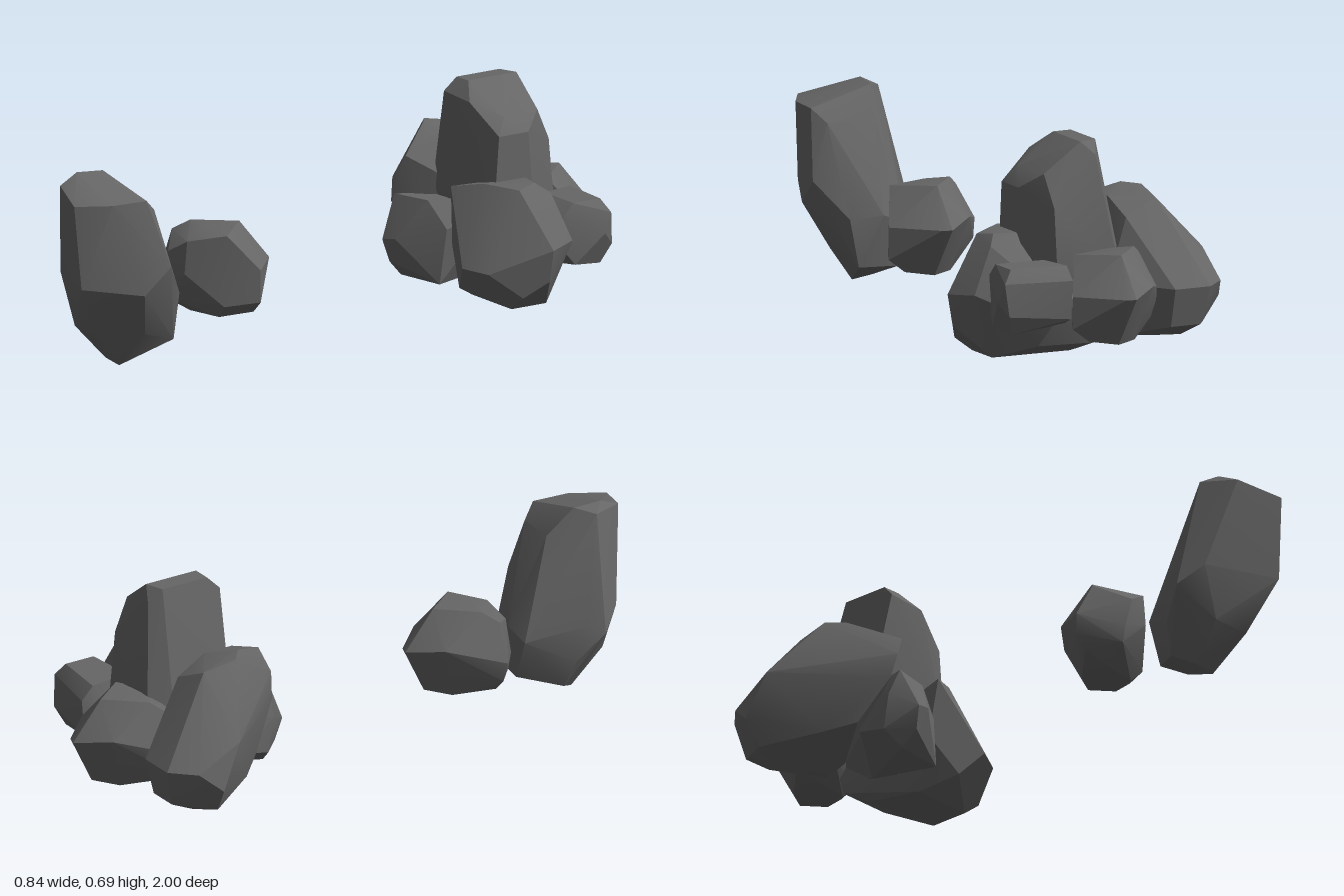
import * as THREE from 'three';
import { ConvexGeometry } from 'three/addons/geometries/ConvexGeometry.js';
import { toCreasedNormals } from 'three/addons/utils/BufferGeometryUtils.js';

const stone = new THREE.MeshStandardMaterial({ color: 0x666666 });

// A chipped boulder: the hull around a few corner points (x, y, z)
function boulder(name, corners) {
  const points = corners.map(([x, y, z]) => new THREE.Vector3(x, y, z));
  const mesh = new THREE.Mesh(toCreasedNormals(new ConvexGeometry(points), 0.4), stone);
  mesh.name = name;
  return mesh;
}

export function createModel() {
  const group = new THREE.Group();
  group.name = 'rockFormation';

  // Tall standing stone at the front, leaning forward
  group.add(boulder('frontStandingStone', [
    [-0.08, 0.58, 0.84], [-0.04, 0.6, 0.88], [-0.03, 0.595, 0.79], [0.18, 0.54, 0.78],
    [0.17, 0.54, 0.9], [0.11, 0.54, 1], [-0.03, 0.57, 0.95], [0, 0.51, 0.71], [0.15, 0.5, 0.73],
    [-0.16, 0.22, 0.82], [-0.14, 0.25, 0.77], [-0.11, 0.28, 0.89], [0.12, 0.28, 0.98],
    [0.03, 0.23, 0.59], [-0.05, 0.2, 0.6], [0.13, 0.22, 0.62], [0.21, 0.33, 0.71], [0.2, 0.25, 0.8],
    [0.04, 0, 0.78], [-0.03, 0.01, 0.78], [0, 0.07, 0.6], [0.1, 0.07, 0.62], [-0.08, 0.04, 0.72],
    [0.07, 0.11, 0.89], [-0.05, 0.12, 0.88], [-0.12, 0.13, 0.74], [0.13, 0.11, 0.75],
  ]));

  // Small boulder behind it, repeated at the back of the cluster
  const small = boulder('smallBoulder', [
    [0, 0.37, 0.3], [-0.1, 0.37, 0.41], [-0.02, 0.37, 0.42], [0.1, 0.36, 0.42],
    [-0.14, 0.34, 0.45], [0.02, 0.34, 0.51], [0, 0.25, 0.2], [0.03, 0.25, 0.21],
    [0.15, 0.25, 0.33], [0.15, 0.15, 0.33], [0.1, 0.14, 0.43], [0.02, 0.24, 0.52],
    [-0.05, 0.3, 0.53], [-0.08, 0.2, 0.53], [-0.2, 0.23, 0.44], [-0.19, 0.17, 0.43],
    [-0.1, 0.27, 0.28], [0.02, 0.1, 0.28], [0.1, 0.11, 0.32], [0.06, 0.1, 0.42],
    [-0.06, 0.1, 0.44], [-0.08, 0.15, 0.52], [-0.15, 0.13, 0.43], [-0.06, 0.1, 0.33],
  ]);
  const back = small.clone();
  back.name = 'clusterBackBoulder';
  back.position.z = -1.2;
  group.add(small, back);

  // Tall peak in the middle of the cluster
  group.add(boulder('clusterPeak', [
    [-0.02, 0.69, -0.53], [0.04, 0.69, -0.53], [-0.02, 0.69, -0.69], [0.04, 0.69, -0.71],
    [-0.03, 0.65, -0.49], [0.1, 0.64, -0.49], [0.18, 0.6, -0.56], [0.21, 0.55, -0.52],
    [0.21, 0.55, -0.63], [0.16, 0.6, -0.7], [0, 0.65, -0.73], [0.15, 0.5, -0.75],
    [-0.1, 0.35, -0.5], [-0.1, 0.3, -0.7], [-0.06, 0.3, -0.77], [0.15, 0.3, -0.77],
    [0.21, 0.3, -0.5], [0.21, 0.3, -0.65], [0, 0.1, -0.55], [0.12, 0.1, -0.55], [0.05, 0.1, -0.72],
  ]));

  // Long slab on the right side of the cluster, sloping down to the back
  group.add(boulder('clusterRightSlab', [
    [-0.24, 0.51, -0.57], [-0.19, 0.515, -0.53], [-0.11, 0.49, -0.5], [-0.11, 0.49, -0.6],
    [-0.09, 0.45, -0.39], [-0.13, 0.38, -0.37], [-0.23, 0.49, -0.68], [-0.12, 0.44, -0.7],
    [-0.4, 0.32, -0.66], [-0.42, 0.18, -0.73], [-0.39, 0.24, -0.8], [-0.32, 0.24, -0.87],
    [-0.2, 0.24, -0.87], [-0.05, 0.25, -0.72], [-0.15, 0.3, -0.38], [-0.37, 0.1, -0.72],
    [-0.28, 0.075, -0.75], [-0.2, 0.07, -0.7], [-0.27, 0.13, -0.55], [-0.2, 0.16, -0.47],
    [-0.12, 0.09, -0.6], [-0.3, 0.12, -0.84], [-0.2, 0.12, -0.84], [-0.1, 0.08, -0.7],
  ]));

  // Low boulder at the front of the cluster
  group.add(boulder('clusterFrontBoulder', [
    [-0.1, 0.2, -0.31], [-0.05, 0.21, -0.32], [-0.12, 0.33, -0.37], [0.01, 0.33, -0.4],
    [0.08, 0.25, -0.42], [-0.16, 0.24, -0.38], [-0.1, 0.08, -0.38], [0.07, 0.08, -0.4],
    [-0.09, 0.13, -0.33], [-0.16, 0.13, -0.4], [-0.1, 0.3, -0.6], [0.1, 0.3, -0.6],
    [0, 0.08, -0.6], [-0.16, 0.15, -0.5],
  ]));

  // Broad boulder on the left side of the cluster
  group.add(boulder('clusterLeftBoulder', [
    [0.2, 0.41, -0.47], [0.28, 0.41, -0.6], [0.3, 0.4, -0.53], [0.2, 0.41, -0.62],
    [0.1, 0.39, -0.42], [0.31, 0.38, -0.64], [0.42, 0.23, -0.57], [0.38, 0.24, -0.67],
    [0.32, 0.16, -0.4], [0.24, 0.17, -0.36], [0.08, 0.2, -0.44], [0.4, 0.13, -0.57],
    [0.3, 0.035, -0.5], [0.3, 0.035, -0.63], [0.1, 0.04, -0.5], [0.05, 0.04, -0.66],
    [0.17, 0.09, -0.4], [0.36, 0.08, -0.5], [0.2, 0.08, -0.74], [0, 0.07, -0.72],
    [0, 0.2, -0.76], [0.14, 0.2, -0.8], [0.3, 0.2, -0.72],
  ]));

  // Small stone resting at the back left
  group.add(boulder('clusterSideStone', [
    [0.36, 0.3, -0.83], [0.35, 0.2, -0.84], [0.33, 0.34, -0.81], [0.33, 0.34, -0.71],
    [0.33, 0.3, -0.67], [0.33, 0.2, -0.67], [0.34, 0.15, -0.71], [0.33, 0.14, -0.81],
    [0.15, 0.34, -0.83], [0.17, 0.34, -0.72], [0.15, 0.3, -0.87], [0.15, 0.18, -0.86],
    [0.12, 0.14, -0.74], [0.2, 0.14, -0.68], [0.25, 0.31, -0.66], [0.37, 0.24, -0.8],
  ]));

  return group;
}
